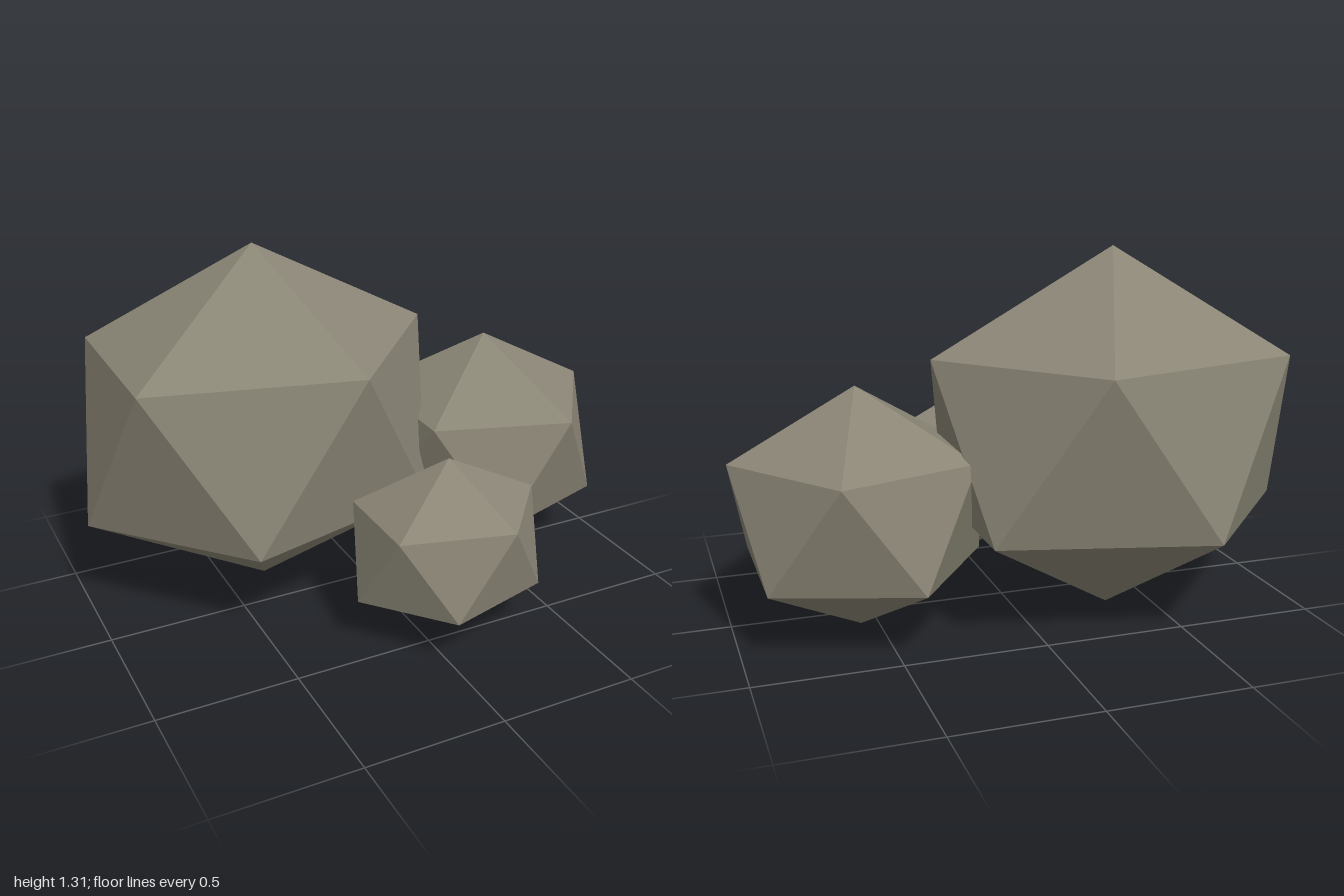
import * as THREE from 'three';

const stone = new THREE.MeshStandardMaterial({ color: 0x8a8575, flatShading: true });

// Icosahedron stood on a vertex, stretched to the given radii and resting on the ground
function boulder(name, x, z, rx, ry, rz) {
  const golden = (1 + Math.sqrt(5)) / 2;
  const geometry = new THREE.IcosahedronGeometry(1, 0);
  geometry.rotateZ(-Math.atan(1 / golden));
  geometry.scale(rx, ry, rz);
  const mesh = new THREE.Mesh(geometry, stone);
  mesh.name = name;
  mesh.position.set(x, ry, z);
  return mesh;
}

export function createModel() {
  const group = new THREE.Group();
  group.name = 'rockCluster';
  group.add(
    boulder('largeRock', -0.342, -0.193, 0.735, 0.655, 0.591),
    boulder('mediumRock', 0.56, -0.112, 0.49, 0.43, 0.49),
    boulder('smallRock', 0.108, 0.42, 0.386, 0.328, 0.328),
  );
  return group;
}
